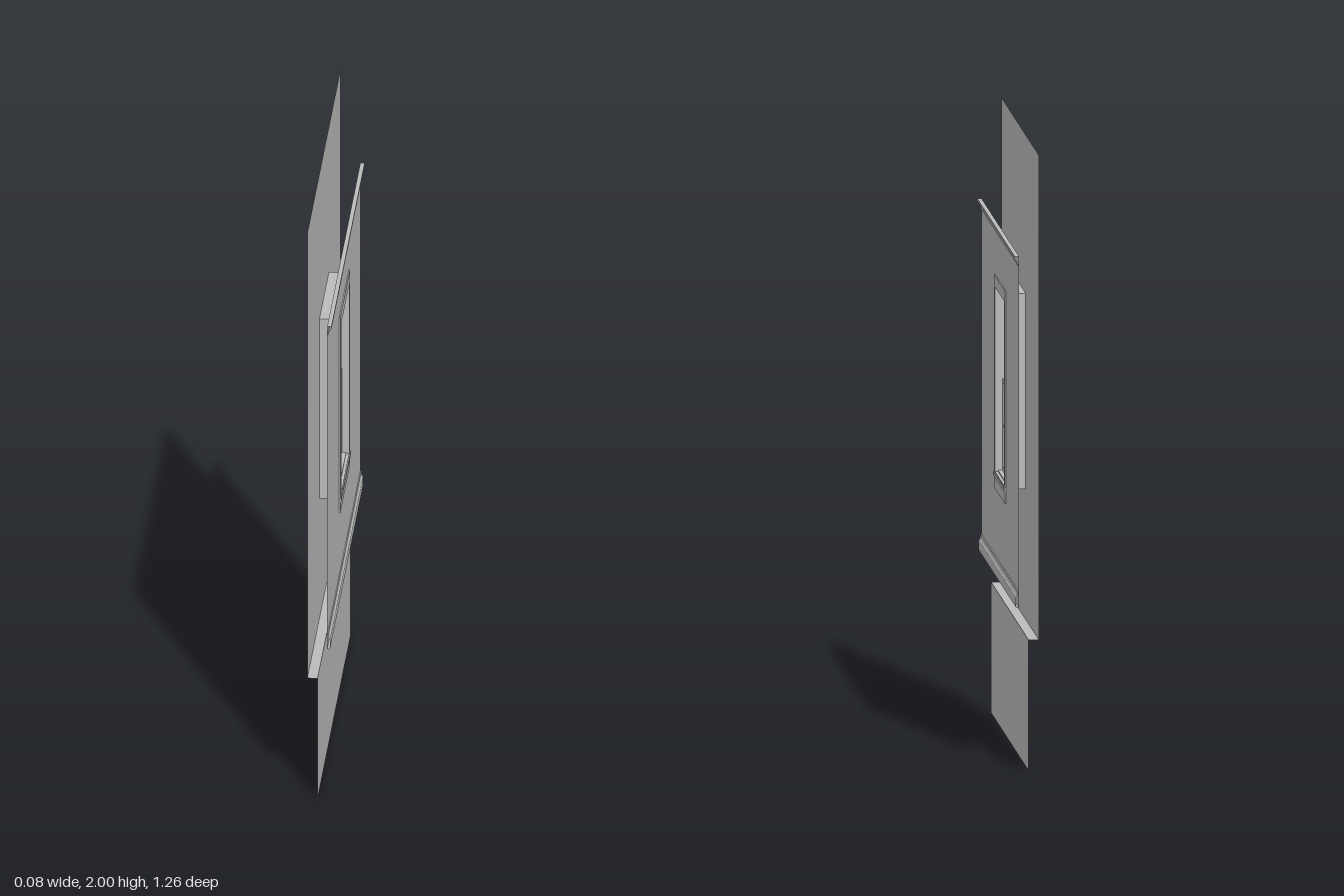
import * as THREE from 'three';

const plaster = new THREE.MeshStandardMaterial({ color: 0xbbbbbb, side: THREE.DoubleSide });
plaster.name = 'plain grey';

const MID = -0.01;   // z of the window's centre line
const HALF = 0.63;   // half length of the walls

export function createModel() {
  const model = new THREE.Group();
  const add = (parent, name, geometry) => {
    const mesh = new THREE.Mesh(geometry, plaster);
    mesh.name = name;
    parent.add(mesh);
    return mesh;
  };
  const group = (name) => {
    const g = new THREE.Group();
    g.name = name;
    model.add(g);
    return g;
  };

  // box from its limits
  const box = (parent, name, x0, x1, y0, y1, z0, z1) => {
    const g = new THREE.BoxGeometry(x1 - x0, y1 - y0, z1 - z0);
    g.translate((x0 + x1) / 2, (y0 + y1) / 2, (z0 + z1) / 2);
    return add(parent, name, g);
  };

  // rectangle [y0, y1, z0, z1] in the wall plane, with rectangular holes
  const rect = (T, [y0, y1, z0, z1]) => new T([[-z1, y0], [-z0, y0], [-z0, y1], [-z1, y1]]
    .map(([u, v]) => new THREE.Vector2(u, v)));
  const panel = (outer, holes) => {
    const s = rect(THREE.Shape, outer);
    s.holes = holes.map((h) => rect(THREE.Path, h));
    return s;
  };
  const sheet = (parent, name, x, outer, holes = []) =>
    add(parent, name, new THREE.ShapeGeometry(panel(outer, holes)).rotateY(Math.PI / 2).translate(x, 0, 0));
  const frame = (parent, name, x0, x1, outer, holes) =>
    add(parent, name, new THREE.ExtrudeGeometry(panel(outer, holes), { depth: x1 - x0, bevelEnabled: false })
      .rotateY(Math.PI / 2).translate(x0, 0, 0));

  // open moulding: an (x, y) profile swept along z
  const moulding = (parent, name, profile) => {
    const pos = [];
    for (let i = 0; i < profile.length - 1; i++) {
      const [ax, ay] = profile[i], [bx, by] = profile[i + 1];
      pos.push(ax, ay, HALF, ax, ay, -HALF, bx, by, -HALF, ax, ay, HALF, bx, by, -HALF, bx, by, HALF);
    }
    const g = new THREE.BufferGeometry();
    g.setAttribute('position', new THREE.Float32BufferAttribute(pos, 3));
    g.computeVertexNormals();
    return add(parent, name, g);
  };

  const around = (y0, y1, w) => [y0, y1, MID - w, MID + w];
  const opening = around(0.85, 1.47, 0.165);

  // outside wall, ledge and foundation
  const outside = group('outsideWall');
  sheet(outside, 'siding', -0.036, [0.425, 2, -HALF, HALF], [opening]);
  moulding(outside, 'foundation', [[-0.003, 0], [-0.003, 0.425], [-0.036, 0.425]]);

  // inside wall with baseboard and crown
  const inside = group('insideWall');
  sheet(inside, 'insidePanel', 0.028, [0.53, 1.672, -HALF, HALF], [opening]);
  moulding(inside, 'baseboard', [[0.028, 0.53], [0.037, 0.53], [0.037, 0.562], [0.033, 0.568], [0.031, 0.58], [0.028, 0.582]]);
  moulding(inside, 'crown', [[0.028, 1.64], [0.031, 1.64], [0.031, 1.646], [0.034, 1.652],
    [0.039, 1.66], [0.042, 1.664], [0.042, 1.672], [0.028, 1.672]]);

  // window frame, casing, stool and apron
  const win = group('window');
  frame(win, 'jamb', -0.04, 0.022, around(0.85, 1.485, 0.18), [around(0.862, 1.46, 0.152)]);
  frame(win, 'outsideTrim', -0.042, -0.034, around(0.85, 1.485, 0.178), [around(0.862, 1.465, 0.16)]);
  frame(win, 'casing', 0.017, 0.032, around(0.845, 1.495, 0.184), [around(0.858, 1.458, 0.152)]);
  box(win, 'stool', 0.012, 0.035, 0.842, 0.854, MID - 0.187, MID + 0.187);
  box(win, 'apron', 0.017, 0.032, 0.803, 0.842, MID - 0.184, MID + 0.184);
  box(win, 'outsideSill', -0.042, -0.01, 0.85, 0.866, MID - 0.165, MID + 0.165);

  // two sashes of six panes
  const sash = (name, x, y0, y1) => {
    const g = new THREE.Group();
    g.name = name;
    win.add(g);
    const w = 0.136, bar = 0.003, my = (y0 + y1) / 2, third = w * 2 / 3;
    const panes = [];
    for (let c = 0; c < 3; c++) {
      const z0 = MID - w + c * third + bar, z1 = MID - w + (c + 1) * third - bar;
      panes.push([y0 + 0.014, my - bar, z0, z1], [my + bar, y1 - 0.012, z0, z1]);
    }
    frame(g, 'sashBars', x, x + 0.012, around(y0, y1, 0.15), panes);
    sheet(g, 'glass', x + 0.006, around(y0 + 0.01, y1 - 0.01, w));
  };
  sash('upperSash', -0.018, 1.148, 1.46);
  sash('lowerSash', -0.004, 0.862, 1.16);

  // shutters either side of the window, each with two panels
  for (const side of [-1, 1]) {
    const g = group(side > 0 ? 'frontShutter' : 'backShutter');
    const span = (a, b) => [MID + side * a, MID + side * b].sort((p, q) => p - q);
    const inner = span(0.2, 0.333);
    const fields = [[0.85, 1.13, ...inner], [1.16, 1.455, ...inner]];
    frame(g, 'shutterFrame', -0.042, -0.036, [0.82, 1.485, ...span(0.178, 0.355)], fields);
    for (const [y0, y1, z0, z1] of fields) {
      box(g, 'shutterPanel', -0.040, -0.036, y0 + 0.008, y1 - 0.008, z0 + 0.008, z1 - 0.008);
      sheet(g, 'shutterBack', -0.0375, [y0, y1, z0, z1]);
    }
  }
  return model;
}
